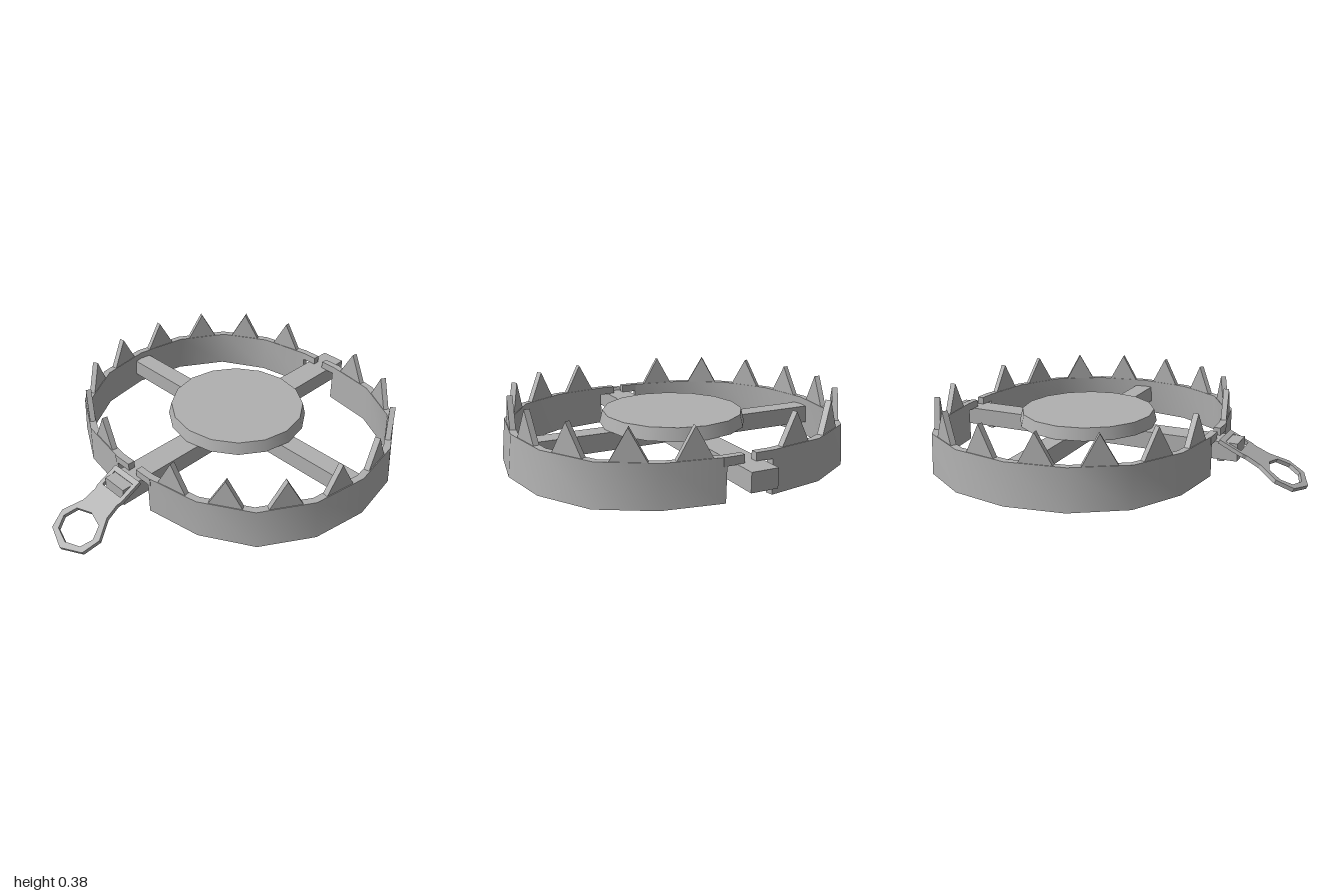
import * as THREE from 'three';
import { toCreasedNormals } from 'three/addons/utils/BufferGeometryUtils.js';

const steel = new THREE.MeshStandardMaterial({ color: 0xb0b0b0 });
steel.name = 'steel grey';

const CENTRE_Z = -0.172;
const BOTTOM = 0.037, TOP = 0.24, THICK = 0.036, LEAN = 0.978;

// Outline of one jaw seen from above (x, z), back to front
const quarter = [[0.115, 0.718], [0.40, 0.67], [0.645, 0.53], [0.795, 0.285]];
const path = [
  ...quarter.map(([x, z]) => [x, -z]),
  [0.843, 0],
  ...quarter.slice().reverse(),
];

function mesh(name, geometry, x = 0, y = 0, z = 0) {
  const m = new THREE.Mesh(geometry, steel);
  m.name = name;
  m.position.set(x, y, z);
  return m;
}

// Four-cornered section swept along the jaw outline, leaning in at the top
function bandGeometry() {
  const positions = [], index = [];
  for (const [x, z] of path) {
    const inner = 1 - THICK / Math.hypot(x, z);
    positions.push(
      x, BOTTOM, z,
      x * LEAN, TOP, z,
      x * LEAN * inner, TOP, z * inner,
      x * inner, BOTTOM, z * inner,
    );
  }
  for (let i = 0; i < path.length - 1; i++) {
    for (let k = 0; k < 4; k++) {
      const a = i * 4 + k, b = i * 4 + (k + 1) % 4;
      index.push(a, b, b + 4, a, b + 4, a + 4);
    }
  }
  const e = (path.length - 1) * 4;
  index.push(0, 2, 1, 0, 3, 2, e, e + 1, e + 2, e, e + 2, e + 3);
  const g = new THREE.BufferGeometry();
  g.setAttribute('position', new THREE.Float32BufferAttribute(positions, 3));
  g.setIndex(index);
  return toCreasedNormals(g, 0.6);
}

function toothGeometry() {
  const s = new THREE.Shape([
    new THREE.Vector2(-0.083, -0.005),
    new THREE.Vector2(0.083, -0.005),
    new THREE.Vector2(0, 0.145),
  ]);
  const g = new THREE.ExtrudeGeometry(s, { depth: 0.028, bevelEnabled: false });
  return g.translate(0, 0, -0.014);
}

function createJaw(name) {
  const jaw = new THREE.Group();
  jaw.name = name;
  jaw.add(mesh('jawBand', bandGeometry()));

  // One tooth on the middle of every straight stretch
  const tooth = toothGeometry();
  for (let i = 0; i < path.length - 1; i++) {
    const [x0, z0] = path[i], [x1, z1] = path[i + 1];
    const x = (x0 + x1) / 2 * LEAN, z = (z0 + z1) / 2;
    const inset = 1 - THICK / 2 / Math.hypot(x, z);
    const t = mesh('tooth', tooth, x * inset, TOP, z * inset);
    t.rotation.y = Math.atan2(-(z1 - z0), (x1 - x0) * LEAN);
    jaw.add(t);
  }

  // Short tabs resting on the long bar
  const tab = new THREE.BoxGeometry(0.1, 0.04, THICK);
  for (const side of [-1, 1]) jaw.add(mesh('jawTab', tab, 0.078, 0.22, side * 0.7));
  return jaw;
}

// Flat pull plate with a slot at the top and a faceted ring at the end
function createPull() {
  const half = [[0.09, 0], [0.09, 0.13], [0.083, 0.15], [0.09, 0.225], [0.145, 0.325], [0.118, 0.415]];
  const hole = [[0.085, 0.275], [0.113, 0.34], [0.085, 0.4]];
  const toV = ([x, y]) => new THREE.Vector2(x, y);
  const mirror = pts => pts.slice().reverse().map(([x, y]) => [-x, y]);
  const shape = new THREE.Shape([...half, [0, 0.463], ...mirror(half)].map(toV));
  shape.holes.push(
    new THREE.Path([[-0.068, 0.028], [0.068, 0.028], [0.068, 0.112], [-0.068, 0.112]].map(toV)),
    new THREE.Path([[0, 0.25], ...hole, [0, 0.428], ...mirror(hole)].map(toV)),
  );
  const g = new THREE.ExtrudeGeometry(shape, { depth: 0.02, bevelEnabled: false });
  g.translate(0, 0, -0.01);
  const pull = mesh('pullRing', g, 0, 0.211, 0.573);
  pull.rotation.x = Math.PI / 2 + 0.447;
  return pull;
}

export function createModel() {
  const model = new THREE.Group();
  model.name = 'jawTrap';

  // Crossed base bars
  model.add(mesh('longBar', new THREE.BoxGeometry(0.132, 0.09, 1.66), 0, 0.157, -0.17));
  model.add(mesh('crossBar', new THREE.BoxGeometry(1.62, 0.09, 0.1), 0, 0.157, -0.177));

  // Trigger plate
  model.add(mesh('triggerPlate', new THREE.CylinderGeometry(0.348, 0.363, 0.063, 16), 0, 0.2335, CENTRE_Z));

  // Two jaws facing each other
  const left = createJaw('leftJaw');
  const right = createJaw('rightJaw');
  right.rotation.y = Math.PI;
  for (const jaw of [left, right]) {
    jaw.position.z = CENTRE_Z;
    model.add(jaw);
  }

  model.add(createPull());
  return model;
}
